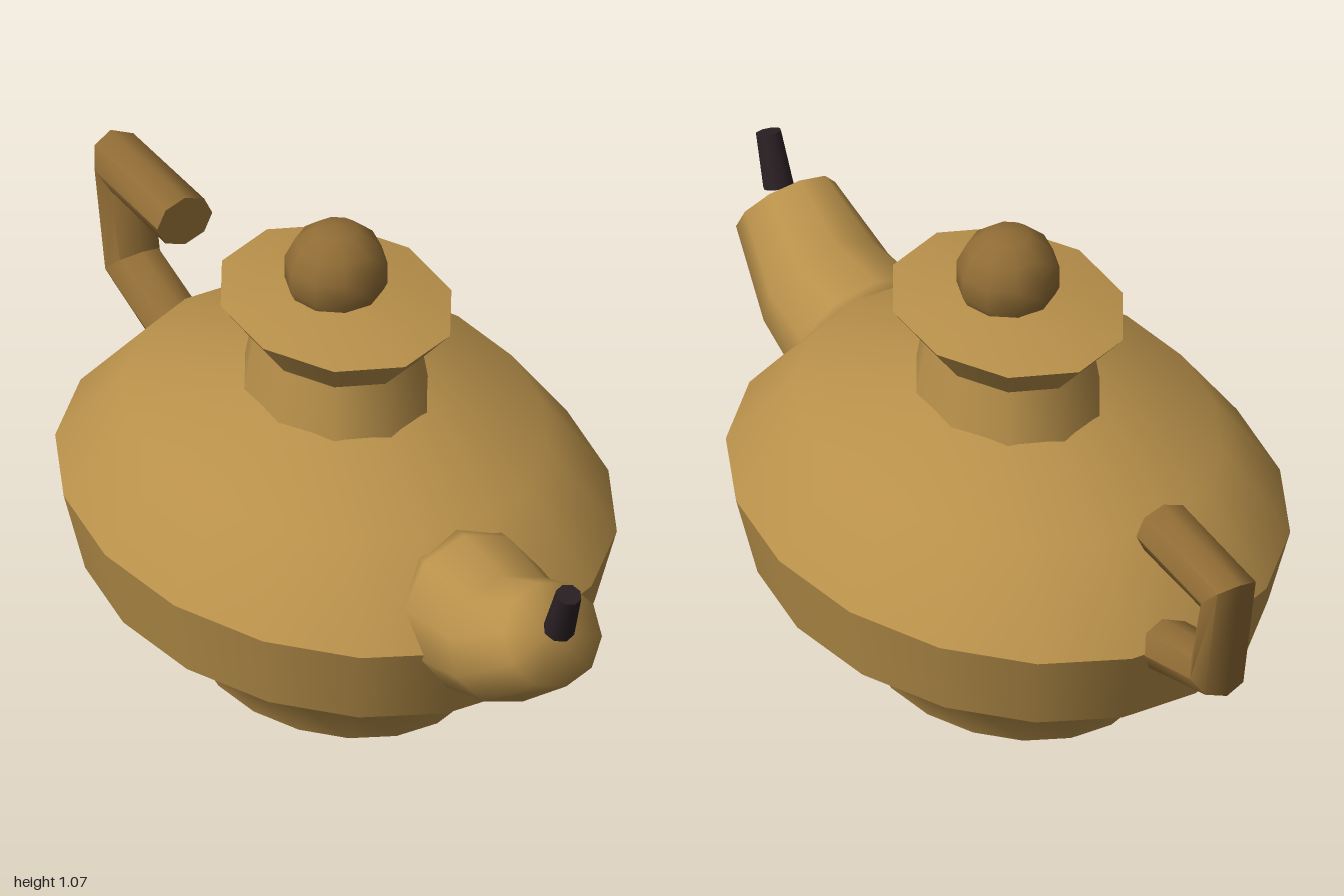
import * as THREE from 'three';
import { toCreasedNormals } from 'three/addons/utils/BufferGeometryUtils.js';

const material = (name, color) => {
  const m = new THREE.MeshStandardMaterial({ color });
  m.name = name;
  return m;
};

// Tube through rings given as [zA, yA, zB, yB, halfWidth]: A and B are opposite points of the ring.
function loft(rings, sides) {
  const pos = [], index = [];
  const centre = ([za, ya, zb, yb]) => [0, (ya + yb) / 2, (za + zb) / 2];
  for (const ring of rings) {
    const [za, ya, zb, yb, w] = ring;
    const [, cy, cz] = centre(ring);
    for (let j = 0; j < sides; j++) {
      const t = (j / sides) * Math.PI * 2, c = Math.cos(t);
      pos.push(w * Math.sin(t), cy + c * (ya - yb) / 2, cz + c * (za - zb) / 2);
    }
  }
  const last = (rings.length - 1) * sides, start = rings.length * sides;
  pos.push(...centre(rings[0]), ...centre(rings[rings.length - 1]));
  for (let j = 0; j < sides; j++) {
    const k = (j + 1) % sides;
    for (let r = 0; r < last; r += sides) {
      index.push(r + j, r + sides + j, r + k, r + k, r + sides + j, r + sides + k);
    }
    index.push(start, j, k, start + 1, last + k, last + j);
  }
  const g = new THREE.BufferGeometry();
  g.setAttribute('position', new THREE.Float32BufferAttribute(pos, 3));
  g.setIndex(index);
  g.computeVertexNormals();
  return g;
}

export function createModel() {
  const group = new THREE.Group();
  const brass = material('brass', 0xb8904a);
  const bronze = material('bronze', 0x906c35);
  const black = material('charred black', 0x2a2024);

  const add = (name, geometry, mat) => {
    const mesh = new THREE.Mesh(geometry, mat);
    mesh.name = name;
    group.add(mesh);
    return mesh;
  };

  // Oval turned part: smooth within one profile, sharp where two parts meet
  const turned = (name, profile, sides, phase = 0) => {
    const g = new THREE.LatheGeometry(profile.map(([r, y]) => new THREE.Vector2(r, y)), sides, phase);
    g.scale(1, 1, 1.25);
    g.translate(0, 0, -0.03);
    return add(name, g, brass);
  };

  // Body
  const q = Math.PI / 2;
  turned('base', [[0, 0], [0.283, 0]], 18, q);
  turned('bowl', [[0.283, 0], [0.325, 0.1], [0.512, 0.235]], 18, q);
  turned('belly', [[0.512, 0.235], [0.556, 0.42]], 18, q);
  turned('shoulder', [[0.556, 0.42], [0.42, 0.607], [0.18, 0.677]], 18, q);

  // Neck and lid
  turned('neck', [[0.19, 0.67], [0.17, 0.795]], 10);
  turned('lidFlare', [[0.17, 0.795], [0.238, 0.887]], 10);
  turned('lidTop', [[0.238, 0.887], [0.1, 0.915], [0, 0.917]], 10);
  add('knob', new THREE.SphereGeometry(0.112, 10, 7), bronze).position.set(0, 0.96, -0.03);

  // Spout
  add('spout', loft([
    [0.46, 0.6, 0.56, 0.29, 0.165],
    [0.52, 0.61, 0.62, 0.283, 0.17],
    [0.69, 0.605, 0.77, 0.335, 0.152],
    [0.84, 0.677, 0.96, 0.485, 0.115],
  ], 10), brass);

  // Wick floating over the spout tip
  const wick = add('wick', new THREE.CylinderGeometry(0.028, 0.034, 0.12, 8), black);
  wick.position.set(0, 0.667, 0.95);
  wick.rotation.x = 0.36;

  // Hooked handle, open at its upper end
  add('handle', toCreasedNormals(loft([
    [-0.68, 0.643, -0.68, 0.76, 0.066],
    [-0.9, 0.64, -1, 0.745, 0.066],
    [-0.865, 0.515, -0.945, 0.43, 0.066],
    [-0.62, 0.45, -0.62, 0.33, 0.066],
  ], 8), 0.85), bronze);

  return group;
}
